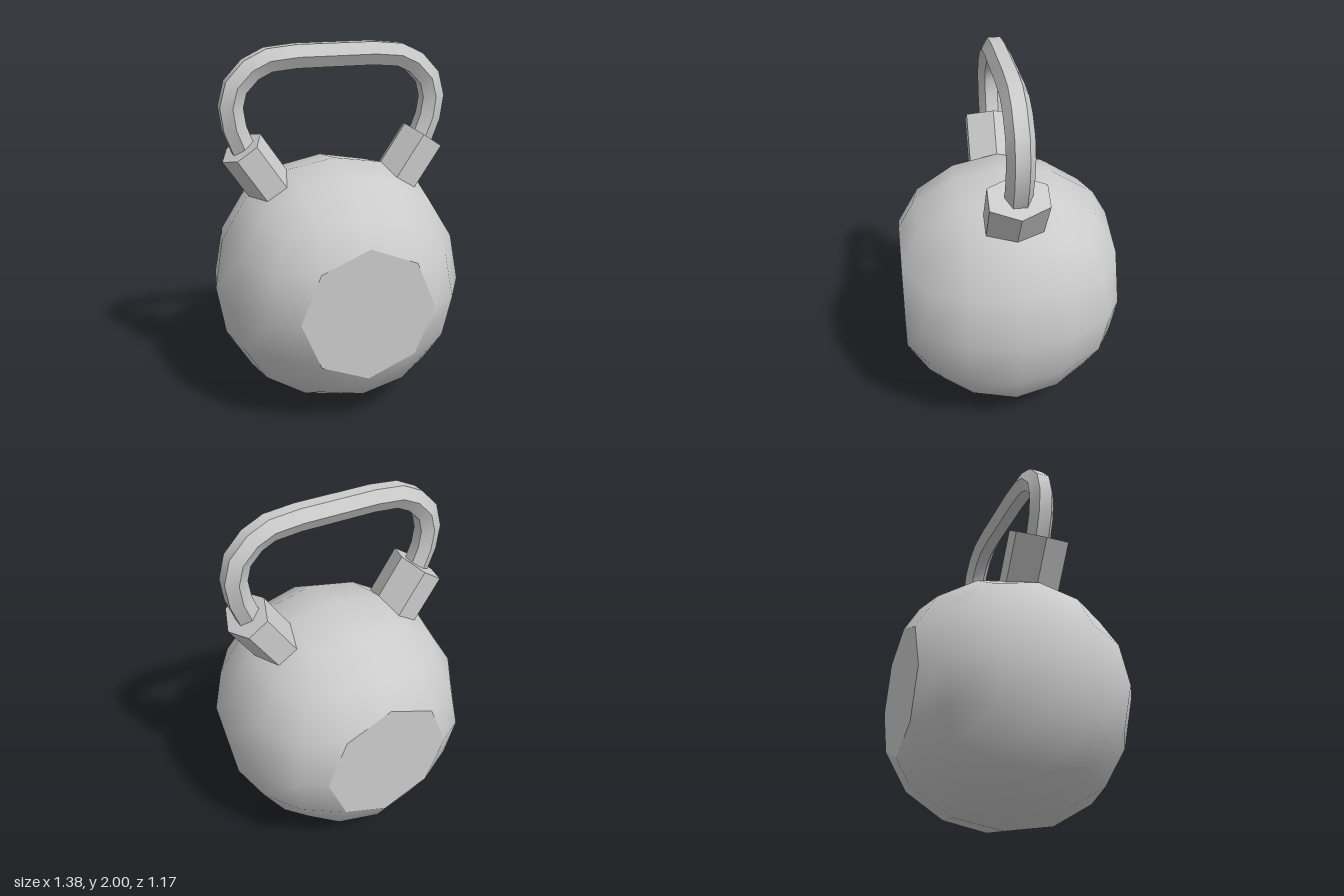
import * as THREE from 'three';
import { mergeVertices } from 'three/addons/utils/BufferGeometryUtils.js';

const R = 0.689;      // ball radius
const CAP_Z = 0.587;  // flat faces at front and back
const CAP_R = 0.365;

// Rounded-cube ball: each grid point of a 4x4x4 box goes to its smoothed place,
// looked up by its sorted absolute coordinates (small, middle, large).
const SMOOTH = {
  '002': [0, 0, 0.689],
  '012': [0, 0.275, 0.643],
  '112': [0.256, 0.256, 0.599],
  '022': [0, 0.5045, 0.5045],
  '122': [0.237, 0.47, 0.47],
  '222': [0.3995, 0.3995, 0.3995],
};

function ballGeometry() {
  let geo = new THREE.BoxGeometry(4, 4, 4, 4, 4, 4);
  geo.deleteAttribute('uv');
  geo.deleteAttribute('normal');
  geo.clearGroups();
  geo = mergeVertices(geo);
  const pos = geo.attributes.position;
  const onCap = [];
  for (let i = 0; i < pos.count; i++) {
    const p = [pos.getX(i), pos.getY(i), pos.getZ(i)].map(Math.round);
    const order = [0, 1, 2].sort((a, b) => Math.abs(p[a]) - Math.abs(p[b]));
    const target = SMOOTH[order.map(a => Math.abs(p[a])).join('')];
    const q = [0, 0, 0];
    order.forEach((axis, k) => { q[axis] = Math.sign(p[axis]) * target[k]; });
    // the inner ring on front and back becomes a flat octagon
    onCap[i] = Math.abs(p[2]) === 2 && Math.abs(p[0]) < 2 && Math.abs(p[1]) < 2;
    if (onCap[i]) {
      const len = Math.hypot(q[0], q[1]) || 1;
      q[0] *= CAP_R / len;
      q[1] *= CAP_R / len;
      q[2] = Math.sign(q[2]) * CAP_Z;
    }
    pos.setXYZ(i, ...q);
  }
  // leave the octagons open; they are separate flat discs
  const index = [];
  for (let t = 0; t < geo.index.count; t += 3) {
    const tri = [0, 1, 2].map(k => geo.index.getX(t + k));
    if (!tri.every(v => onCap[v])) index.push(...tri);
  }
  geo.setIndex(index);
  geo.computeVertexNormals();
  return geo;
}

// Six-sided bar swept along a path in the xy plane; smooth along, sharp across
function barGeometry(path, radius) {
  const positions = [], index = [];
  const normals = path.map((p, i) => {
    const a = path[Math.max(i - 1, 0)], b = path[Math.min(i + 1, path.length - 1)];
    const d = b.clone().sub(a).normalize();
    return new THREE.Vector2(-d.y, d.x);
  });
  for (let side = 0; side < 6; side++) {
    const start = positions.length / 3;
    path.forEach((p, i) => {
      for (const s of [side, side + 1]) {
        const a = s * Math.PI / 3;
        const off = radius * Math.sin(a);
        positions.push(p.x + normals[i].x * off, p.y + normals[i].y * off, radius * Math.cos(a));
      }
      if (i > 0) {
        const c = start + i * 2;
        index.push(c - 2, c, c - 1, c - 1, c, c + 1);
      }
    });
  }
  const geo = new THREE.BufferGeometry();
  geo.setAttribute('position', new THREE.Float32BufferAttribute(positions, 3));
  geo.setIndex(index);
  geo.computeVertexNormals();
  return geo;
}

export function createModel() {
  const model = new THREE.Group();
  model.name = 'kettlebell';
  const smooth = new THREE.MeshStandardMaterial({ color: 0xcccccc });
  const flat = new THREE.MeshStandardMaterial({ color: 0xcccccc, flatShading: true });
  const bar = new THREE.MeshStandardMaterial({ color: 0xcccccc, side: THREE.DoubleSide });
  const add = (name, geo, mat) => {
    const mesh = new THREE.Mesh(geo, mat);
    mesh.name = name;
    model.add(mesh);
    return mesh;
  };

  // ball with flat front and back
  add('ball', ballGeometry(), smooth).position.y = R;
  const disc = new THREE.CircleGeometry(CAP_R, 8);
  add('frontFace', disc, flat).position.set(0, R, CAP_Z);
  const back = add('backFace', disc, flat);
  back.position.set(0, R, -CAP_Z);
  back.rotation.y = Math.PI;

  // handle: half path mirrored across x = 0
  const half = [
    [0.21, 1.939], [0.36, 1.925], [0.455, 1.88], [0.537, 1.795],
    [0.565, 1.692], [0.55, 1.58], [0.505, 1.46], [0.46, 1.385],
  ];
  const path = [
    ...half.map(([x, y]) => new THREE.Vector2(-x, y)).reverse(),
    ...half.map(([x, y]) => new THREE.Vector2(x, y)),
  ];
  add('handle', barGeometry(path, 0.0705), bar);

  // hexagonal sockets joining handle and ball
  const tilt = 0.588, depth = 0.3;
  const socket = new THREE.CylinderGeometry(0.125, 0.125, depth, 6);
  socket.rotateY(Math.PI / 2);          // a corner points along x
  socket.scale(1, 1, 1.385);
  socket.translate(0, -depth / 2, 0);   // origin at the top face
  for (const [name, s] of [['leftSocket', 1], ['rightSocket', -1]]) {
    const mesh = add(name, socket, flat);
    mesh.position.set(s * 0.516, 1.472, 0);
    mesh.rotation.z = -s * tilt;
  }
  return model;
}
